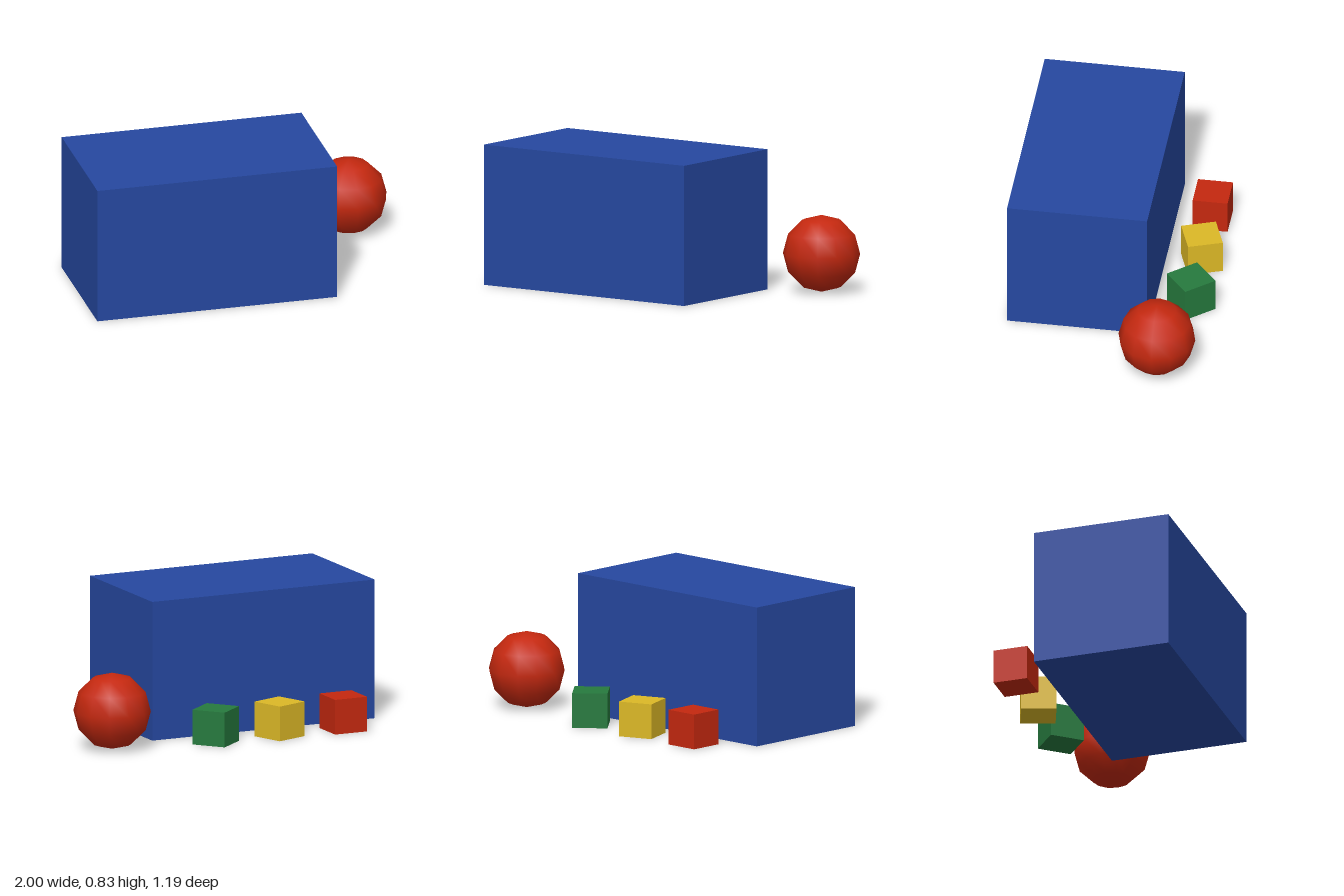
import * as THREE from 'three';

const paint = (name, color) => {
  const m = new THREE.MeshStandardMaterial({ color });
  m.name = name;
  return m;
};

export function createModel() {
  const model = new THREE.Group();
  model.name = 'blocksAndBall';
  const blue = paint('blue', 0x2648a0);
  const red = paint('red', 0xc4280f);
  const yellow = paint('yellow', 0xdcb826);
  const green = paint('green', 0x267a3e);

  const add = (name, geometry, material, x, y, z, turn = 0) => {
    const mesh = new THREE.Mesh(geometry, material);
    mesh.name = name;
    mesh.position.set(x, y, z);
    mesh.rotation.y = THREE.MathUtils.degToRad(turn);
    model.add(mesh);
  };

  // Large box
  add('largeBox', new THREE.BoxGeometry(1.454, 0.832, 0.832), blue, -0.273, 0.416, 0.178);

  // Ball with few sides and smooth shading
  add('ball', new THREE.SphereGeometry(0.228, 12, 6), red, 0.769, 0.229, -0.345);

  // Row of small cubes, each turned a little further
  const size = 0.208;
  const cube = new THREE.BoxGeometry(size, size, size);
  [['redCube', red], ['yellowCube', yellow], ['greenCube', green]].forEach(([name, material], i) => {
    add(name, cube, material, -0.69 + i * 0.417, size / 2, -0.452, i * 20);
  });

  return model;
}
